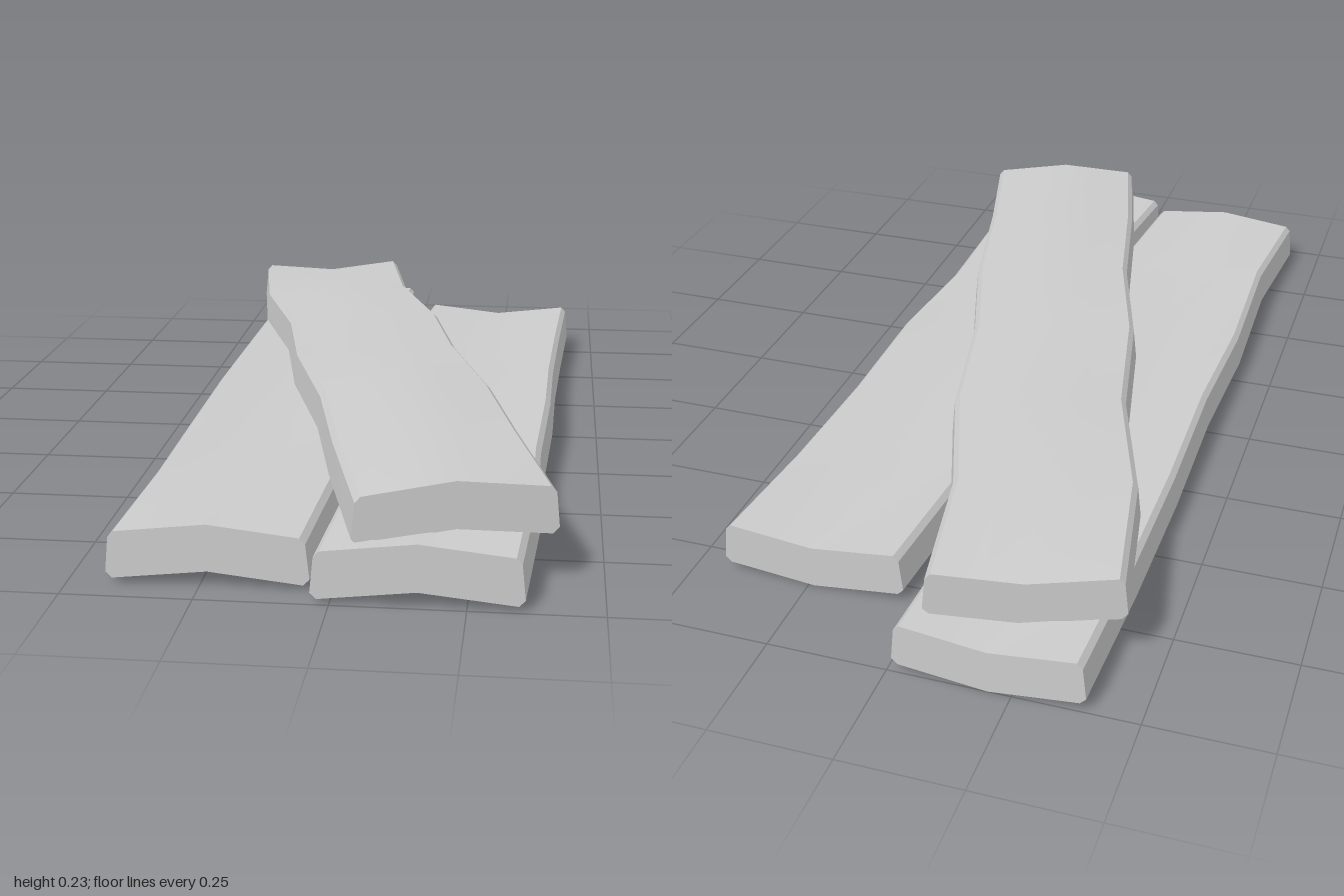
import * as THREE from 'three';
import { toCreasedNormals } from 'three/addons/utils/BufferGeometryUtils.js';

const THICKNESS = 0.093;
const CHAMFER = 0.012;

// Closed outline of a plank's cross-section, clockwise seen from the front.
// bow lifts (or drops) the middle of the board relative to its edges.
function section(half, bow) {
  const steps = [-1, -0.5, 0, 0.5, 1];
  const lift = (u) => bow * (1 + Math.cos(Math.PI * u)) / 2;
  const top = steps.map((u) => [u * (half - 0.018), THICKNESS + lift(u)]);
  const bottom = steps.map((u) => [-u * (half - 0.012), lift(u)]);
  return [
    ...top,
    [half - 0.007, THICKNESS - CHAMFER], [half, CHAMFER],
    ...bottom,
    [-half, CHAMFER], [-half + 0.007, THICKNESS - CHAMFER],
  ];
}

// Sweeps the cross-section through stations [x, z, edge height, bow], back to front.
function plank(name, stations, half, yaw, material) {
  const positions = [], indices = [];
  const cos = Math.cos(yaw), sin = Math.sin(yaw);
  const n = section(half, 0).length;

  stations.forEach(([x, z, y, bow]) => {
    for (const [u, v] of section(half, bow)) positions.push(x + u * cos, y + v, z - u * sin);
  });

  for (let k = 0; k < stations.length - 1; k++) {
    for (let i = 0; i < n; i++) {
      const a = k * n + i, b = k * n + (i + 1) % n;
      indices.push(a, a + n, b, b, a + n, b + n);
    }
  }

  // Sawn ends
  for (const k of [0, stations.length - 1]) {
    const [x, z, y, bow] = stations[k];
    const centre = positions.length / 3;
    positions.push(x, y + THICKNESS / 2 + bow / 2, z);
    for (let i = 0; i < n; i++) {
      const a = k * n + i, b = k * n + (i + 1) % n;
      if (k === 0) indices.push(centre, a, b);
      else indices.push(centre, b, a);
    }
  }

  const geometry = new THREE.BufferGeometry();
  geometry.setAttribute('position', new THREE.Float32BufferAttribute(positions, 3));
  geometry.setIndex(indices);
  const mesh = new THREE.Mesh(toCreasedNormals(geometry, Math.PI / 7), material);
  mesh.name = name;
  return mesh;
}

export function createModel() {
  const group = new THREE.Group();
  group.name = 'plankPile';
  const wood = new THREE.MeshStandardMaterial({ color: 0xcccccc });

  // Two lower boards lying side by side
  group.add(plank('lowerRightPlank', [
    [-0.203, -1.00, 0.020, -0.020],
    [-0.212, -0.68, 0.012, -0.008],
    [-0.217, -0.35, 0.015, -0.010],
    [-0.215, -0.03, 0.026, -0.018],
    [-0.223, 0.29, 0.014, -0.004],
    [-0.215, 0.62, 0.024, -0.010],
    [-0.235, 0.94, 0.010, 0.020],
  ], 0.192, 0, wood));

  group.add(plank('lowerLeftPlank', [
    [0.238, -0.805, 0.020, -0.020],
    [0.220, -0.50, 0.012, -0.008],
    [0.207, -0.20, 0.015, -0.010],
    [0.202, 0.10, 0.026, -0.018],
    [0.185, 0.40, 0.014, -0.004],
    [0.182, 0.69, 0.024, -0.010],
    [0.160, 0.995, 0.010, 0.020],
  ], 0.195, 0.01, wood));

  // Board laid diagonally across them
  group.add(plank('upperPlank', [
    [-0.245, -0.90, 0.112, -0.018],
    [-0.188, -0.59, 0.114, 0.016],
    [-0.082, -0.29, 0.114, 0.008],
    [-0.018, 0.02, 0.120, -0.003],
    [0.078, 0.315, 0.113, 0.024],
    [0.145, 0.62, 0.116, 0.010],
    [0.225, 0.917, 0.104, 0.020],
  ], 0.194, 0.26, wood));

  return group;
}
